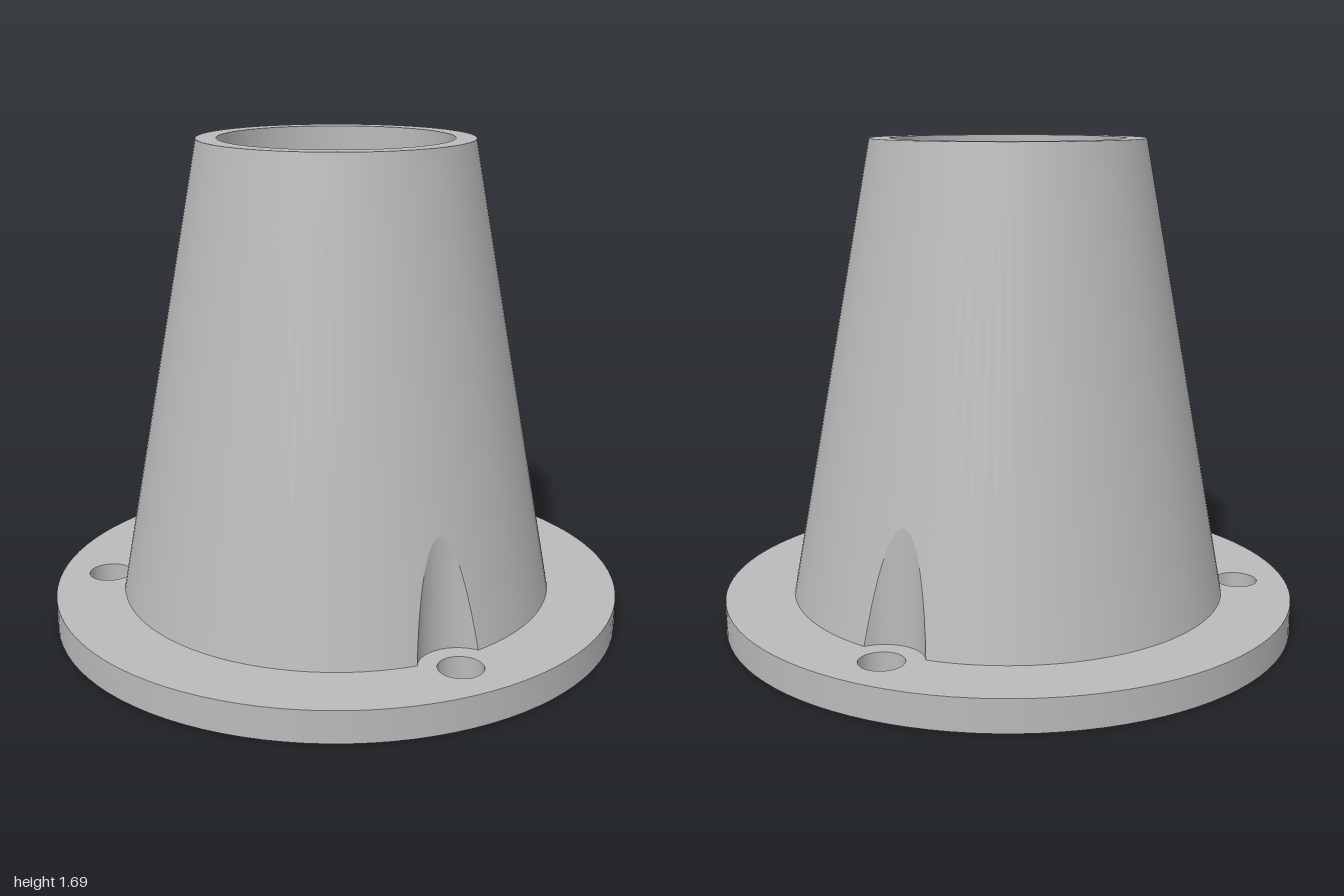
import * as THREE from 'three';
import { toCreasedNormals } from 'three/addons/utils/BufferGeometryUtils.js';

const FLANGE_TOP = 0.11, TOP = 1.69;
const CONE_BASE = 0.76, CONE_TOP = 0.47, BORE = 0.4;
const BOLT_CIRCLE = 0.825, BOLT_HOLE = 0.075, NOTCH = 0.137;
const SLOPE = (CONE_BASE - CONE_TOP) / (TOP - FLANGE_TOP);
const BOLT_ANGLES = [Math.PI / 3, Math.PI, (5 * Math.PI) / 3]; // from +z towards +x

// Half angle of a bolt clearance where it meets the foot of the cone
const HALF = Math.acos(
  (CONE_BASE ** 2 + BOLT_CIRCLE ** 2 - NOTCH ** 2) / (2 * CONE_BASE * BOLT_CIRCLE));

// Distance from the axis to the clearance wall, d radians from the bolt
const notchRadius = (d) => BOLT_CIRCLE * Math.cos(d)
  - Math.sqrt(Math.max(0, NOTCH ** 2 - (BOLT_CIRCLE * Math.sin(d)) ** 2));

const heightOnCone = (r) => FLANGE_TOP + (CONE_BASE - r) / SLOPE;
const polar = (r, angle, y) => new THREE.Vector3(r * Math.sin(angle), y, r * Math.cos(angle));

// Strip of quads between a lower and an upper curve, with given normals
function strip(columns) {
  const position = [], normal = [], index = [];
  columns.forEach(({ low, high, n }, i) => {
    position.push(...low.toArray(), ...high.toArray());
    normal.push(...n.toArray(), ...n.toArray());
    if (i > 0) {
      const a = 2 * (i - 1);
      index.push(a, a + 2, a + 3, a, a + 3, a + 1);
    }
  });
  const g = new THREE.BufferGeometry();
  g.setAttribute('position', new THREE.Float32BufferAttribute(position, 3));
  g.setAttribute('normal', new THREE.Float32BufferAttribute(normal, 3));
  g.setIndex(index);
  return g;
}

function coneColumn(angle, r) {
  return {
    low: polar(r, angle, heightOnCone(r)),
    high: polar(CONE_TOP, angle, TOP),
    n: polar(1, angle, SLOPE).normalize(),
  };
}

export function createModel() {
  const group = new THREE.Group();
  const grey = new THREE.MeshStandardMaterial({ color: 0xbababa });
  grey.name = 'grey';
  const add = (name, geometry) => {
    const mesh = new THREE.Mesh(geometry, grey);
    mesh.name = name;
    group.add(mesh);
  };

  // Flange: disc with the bore and three bolt holes
  const disc = new THREE.Shape().absarc(0, 0, 1, 0, Math.PI * 2, false);
  const hole = (x, y, r) =>
    disc.holes.push(new THREE.Path().absarc(x, y, r, 0, Math.PI * 2, true));
  hole(0, 0, BORE);
  BOLT_ANGLES.forEach((a) =>
    hole(BOLT_CIRCLE * Math.sin(a), -BOLT_CIRCLE * Math.cos(a), BOLT_HOLE));
  const flange = new THREE.ExtrudeGeometry(disc,
    { depth: FLANGE_TOP, bevelEnabled: false, curveSegments: 48 });
  flange.rotateX(-Math.PI / 2);
  add('flange', toCreasedNormals(flange, 0.6));

  // Cone wall, its foot rising in an arch over each bolt clearance
  const cone = [];
  const NOTCH_STEPS = 32, PLAIN_STEPS = 32;
  BOLT_ANGLES.forEach((bolt, k) => {
    const clearance = [];
    for (let i = 0; i <= NOTCH_STEPS; i++) {
      const d = HALF * (2 * i / NOTCH_STEPS - 1);
      const r = notchRadius(d), angle = bolt + d;
      cone.push(coneColumn(angle, r));
      const low = polar(r, angle, FLANGE_TOP);
      const n = polar(BOLT_CIRCLE, bolt, FLANGE_TOP).sub(low).normalize();
      clearance.push({ low, high: polar(r, angle, heightOnCone(r)), n });
    }
    add('boltClearance' + (k + 1), strip(clearance));

    // Plain wall up to the next clearance
    const span = (2 * Math.PI) / 3 - 2 * HALF;
    for (let i = 1; i <= PLAIN_STEPS; i++) {
      cone.push(coneColumn(bolt + HALF + span * i / PLAIN_STEPS, CONE_BASE));
    }
  });
  add('coneWall', strip(cone));

  // Flat rim and straight bore
  const profile = [[CONE_TOP, TOP], [BORE, TOP], [BORE, FLANGE_TOP]]
    .map(([x, y]) => new THREE.Vector2(x, y));
  add('rimAndBore', toCreasedNormals(new THREE.LatheGeometry(profile, 96), 0.6));

  return group;
}
